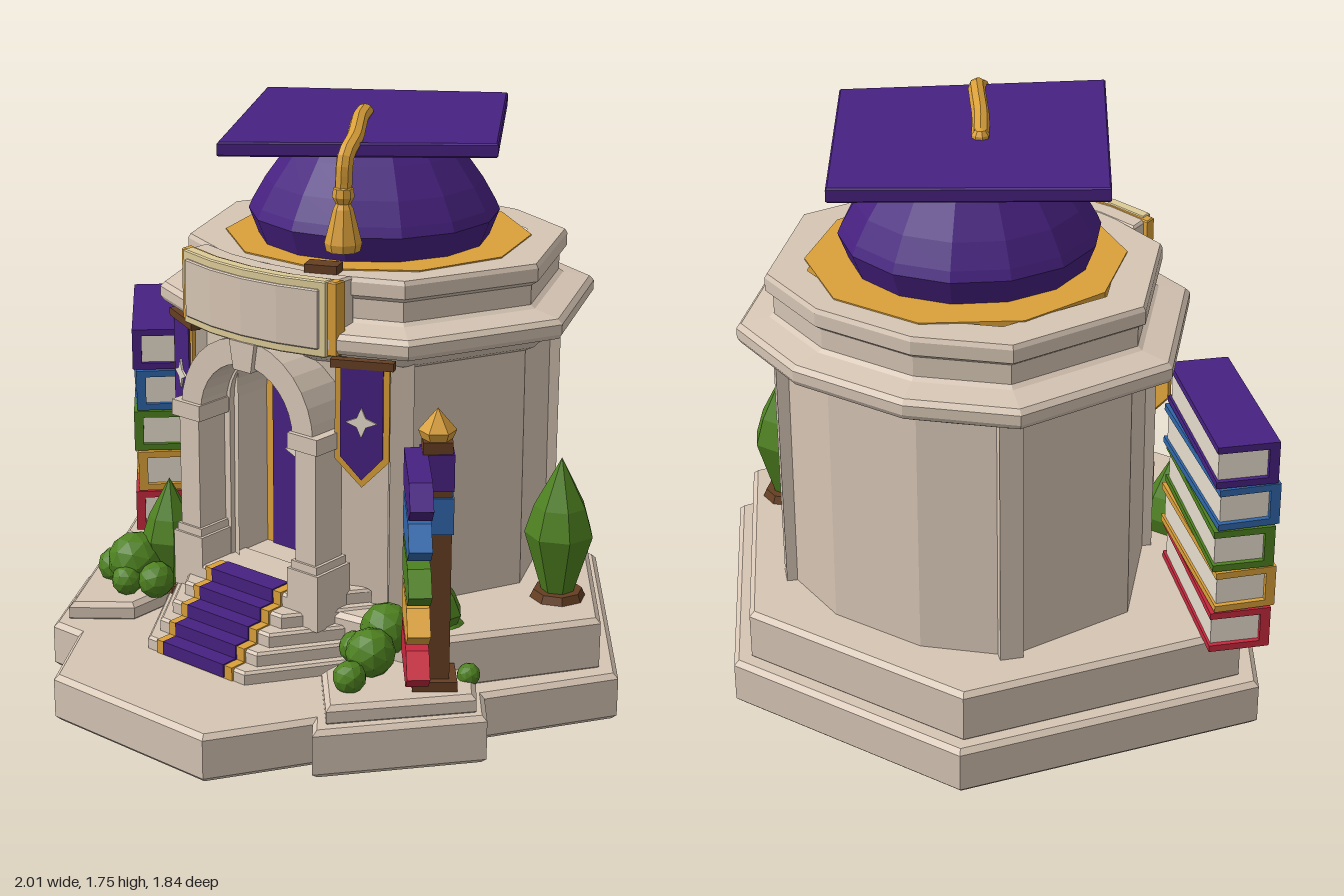
import * as THREE from 'three';

const mat = (name, color) => Object.assign(new THREE.MeshStandardMaterial({ color }), { name });
const V2 = (x, y) => new THREE.Vector2(x, y);

export function createModel() {
  const stone = mat('stone', 0xd6c5b4), purple = mat('purple', 0x472180), gold = mat('gold', 0xdaa03a),
    green = mat('leaf green', 0x4e8120), blue = mat('blue', 0x3066aa), red = mat('red', 0xc6283d),
    brown = mat('wood brown', 0x643e22), cream = mat('cream', 0xe6dccd), paleGold = mat('pale gold', 0xddcb98);
  const model = new THREE.Group();
  model.name = 'scholarTower';

  const group = (name, x = 0, y = 0, z = 0, ry = 0, parent = model) => {
    const g = new THREE.Group();
    g.name = name;
    g.position.set(x, y, z);
    g.rotation.y = ry;
    parent.add(g);
    return g;
  };
  // Adds a faceted mesh
  const add = (name, geo, material, x = 0, y = 0, z = 0, ry = 0, parent = model) => {
    const flat = geo.index ? geo.toNonIndexed() : geo;
    flat.computeVertexNormals();
    const m = new THREE.Mesh(flat, material);
    m.name = name;
    m.position.set(x, y, z);
    m.rotation.y = ry;
    parent.add(m);
  };
  const box = (w, h, d) => new THREE.BoxGeometry(w, h, d);
  // Vertical prism from [x, z] outline with a small bevel
  const prism = (pts, y0, y1, b = 0.015) => {
    const shape = new THREE.Shape(pts.map(([x, z]) => V2(x, -z)));
    return new THREE.ExtrudeGeometry(shape, {
      depth: y1 - y0 - 2 * b, bevelEnabled: b > 0, bevelThickness: b, bevelSize: b, bevelOffset: -b, bevelSegments: 1,
    }).translate(0, 0, b).rotateX(-Math.PI / 2).translate(0, y0, 0);
  };
  const plate = (shape, depth) => new THREE.ExtrudeGeometry(shape, { depth, bevelEnabled: false, curveSegments: 8 });
  const lathe = (pts, n) => new THREE.LatheGeometry(pts.map(p => V2(...p)), n);
  const poly = pts => new THREE.Shape(pts.map(p => V2(...p)));
  const star = s => poly([...Array(8)].map((_, i) => {
    const r = i % 2 ? s * 0.42 : s, a = i * Math.PI / 4;
    return [r * Math.sin(a), r * Math.cos(a)];
  }));

  // Stone base and terraces
  add('baseTier', prism([[-0.41, -0.92], [0.42, -0.92], [1, -0.18], [0.33, 0.92], [-0.28, 0.92], [-0.97, -0.15]], 0, 0.15), stone);
  add('upperTier', prism([[-0.39, -0.87], [0.39, -0.87], [0.93, -0.18], [0.65, 0.25], [0.3, 0.3], [-0.3, 0.3],
    [-0.65, 0.25], [-0.9, -0.15]], 0.14, 0.31), stone);
  add('rightTerrace', prism([[0.72, 0.12], [0.87, 0.3], [0.55, 0.7], [0.4, 0.52], [0.4, 0.2]], 0, 0.15), stone);
  add('rightTerraceTop', prism([[0.72, 0.16], [0.83, 0.3], [0.55, 0.64], [0.38, 0.46], [0.38, 0.2]], 0.14, 0.205), stone);
  add('leftTerrace', prism([[-0.76, 0.15], [-0.76, 0.32], [-0.56, 0.66], [-0.4, 0.66], [-0.4, 0.2]], 0, 0.15), stone);
  add('leftTerraceTop', prism([[-0.72, 0.2], [-0.72, 0.31], [-0.54, 0.61], [-0.38, 0.48], [-0.38, 0.2]], 0.14, 0.205), stone);

  // Tower: one faceted plan lofted along [radius, y] profiles; the wall is left open at the doorway
  const plan = [[-0.27, 0.85], [0.27, 0.85], [0.707, 0.67], [1, 0], [0.707, -0.67], [0.27, -0.85],
    [-0.27, -0.85], [-0.707, -0.67], [-1, 0], [-0.707, 0.67]];
  const loft = (profile, openFront) => {
    const n = plan.length, pos = [], idx = [];
    profile.forEach(([r, y], j) => plan.forEach(([x, z], i) => {
      pos.push(x * r, y, z * r);
      const a = j * n + i, b = j * n + (i + 1) % n;
      if (j < profile.length - 1 && !(openFront && i === 0)) idx.push(a, b, b + n, a, b + n, a + n);
    }));
    const geo = new THREE.BufferGeometry();
    geo.setAttribute('position', new THREE.Float32BufferAttribute(pos, 3));
    geo.setIndex(idx);
    return geo;
  };
  add('towerWall', loft([[0.575, 0.3], [0.57, 1.08]], true), stone, 0.01, 0, -0.245);
  for (const sx of [-1, 1]) for (const sz of [-1, 1]) {
    add('cornerPilaster', box(0.07, 0.8, 0.05), stone, 0.01 + sx * 0.4, 0.7, -0.245 + sz * 0.38, sx * (sz > 0 ? 0.8 : 2.34));
  }
  add('cornice', loft([[0.56, 1.06], [0.6, 1.08], [0.64, 1.12], [0.69, 1.125], [0.7, 1.14], [0.7, 1.17], [0.685, 1.185],
    [0.6, 1.2], [0.585, 1.21], [0.585, 1.27], [0.608, 1.285], [0.608, 1.325], [0.6, 1.338], [0.48, 1.338]], false),
  stone, 0.01, 0, -0.245);
  add('roofFloor', new THREE.CylinderGeometry(0.475, 0.475, 0.04, 10), gold, 0.02, 1.322, -0.23, Math.PI / 10);

  // Entrance steps with carpet
  for (let i = 0; i < 5; i++) {
    const zf = 0.6 - i * 0.055, top = 0.19 + i * 0.0425, hw = 0.2, back = 0.48 - i * 0.035;
    add('entranceStep', prism([[-hw, zf], [hw, zf], [back, 0.18], [-back, 0.18]], 0.14, top, 0.008), stone);
    add('carpetTrim', box(0.31, 0.0425, 0.07), gold, 0, top - 0.017, zf - 0.028);
    add('carpet', box(0.25, 0.0425, 0.074), purple, 0, top - 0.013, zf - 0.025);
  }

  // Deep doorway: arched passage, floor, gold surround and door
  const archShape = (hw, y0, spring) => {
    const s = new THREE.Shape();
    s.moveTo(-hw, y0);
    s.lineTo(hw, y0);
    s.lineTo(hw, spring);
    s.absarc(0, spring, hw, 0, Math.PI, false);
    s.lineTo(-hw, y0);
    return s;
  };
  const passage = archShape(0.2, 0.31, 0.87);
  passage.holes.push(archShape(0.172, 0.355, 0.87));
  add('doorPassage', plate(passage, 0.19), stone, 0, 0, 0.06);
  add('doorSurround', plate(archShape(0.175, 0.35, 0.87), 0.02), gold, 0, 0, 0.06);
  add('door', plate(archShape(0.14, 0.355, 0.89), 0.008), purple, 0, 0, 0.08);
  add('doorStar', plate(star(0.068), 0.009), cream, -0.015, 0.69, 0.088);

  // Portico columns, arch and keystone
  for (const s of [-1, 1]) {
    const column = group('porticoColumn', s * 0.235, 0, 0.305);
    add('columnFoot', box(0.12, 0.18, 0.15), stone, 0, 0.36, 0, 0, column);
    add('columnCollar', box(0.1, 0.03, 0.135), stone, 0, 0.46, 0, 0, column);
    add('columnShaft', box(0.08, 0.4, 0.12), stone, 0, 0.65, 0, 0, column);
    add('columnCapital', box(0.115, 0.05, 0.15), stone, 0, 0.855, 0, 0, column);
  }
  const arch = new THREE.Shape();
  arch.absarc(0, 0.86, 0.265, 0, Math.PI, false);
  arch.absarc(0, 0.86, 0.185, Math.PI, 0, true);
  add('porticoArch', plate(arch, 0.15), stone, 0, 0, 0.215);
  add('keystone', plate(poly([[-0.035, 1.03], [0.035, 1.03], [0.05, 1.12], [-0.05, 1.12]]), 0.15), stone, 0, 0, 0.23);

  // Bowed plaque above the entrance
  const bow = (hw, off, t) => {
    const xs = [-1, -0.5, 0, 0.5, 1].map(k => k * hw);
    return [...xs.map(x => [x, 0.365 - x * x * 0.6 + off]), ...xs.reverse().map(x => [x, 0.365 - x * x * 0.6 + off - t])];
  };
  add('plaqueBody', prism(bow(0.29, -0.01, 0.09), 1.12, 1.34, 0.008), stone);
  add('plaqueFrame', prism(bow(0.305, 0, 0.04), 1.118, 1.342, 0.004), gold);
  add('plaqueBorder', prism(bow(0.28, 0.01, 0.04), 1.115, 1.345, 0.004), paleGold);
  add('plaquePanel', prism(bow(0.262, 0.018, 0.04), 1.14, 1.32, 0.004), stone);
  add('plaqueBracket', box(0.1, 0.03, 0.06), brown, 0.19, 1.35, 0.23, 0.4);

  // Hanging banners
  for (const s of [-1, 1]) {
    const banner = group('banner', s * 0.355, 0, 0.245, s * 0.45);
    const cloth = (hw, top, side, tip) => poly([[-hw, top], [-hw, side], [0, tip], [hw, side], [hw, top]]);
    add('bannerTrim', plate(cloth(0.082, 1.09, 0.8, 0.715), 0.012), gold, 0, 0, 0, 0, banner);
    add('bannerCloth', plate(cloth(0.064, 1.09, 0.81, 0.74), 0.006), purple, 0, 0, 0.012, 0, banner);
    add('bannerStar', plate(star(0.047), 0.006), cream, 0, 0.92, 0.018, 0, banner);
    add('bannerRod', box(0.19, 0.025, 0.03), brown, 0, 1.095, 0.005, 0, banner);
    for (const x of [-0.07, 0.07]) add('rodBracket', box(0.02, 0.02, 0.13), brown, x, 1.09, -0.065, 0, banner);
  }

  // Square cap: dome, board and tassel
  add('capDome', lathe([[0.355, 1.335], [0.388, 1.42], [0.375, 1.45], [0.335, 1.52], [0.27, 1.61], [0.21, 1.68]], 14),
    purple, 0.02, 0, -0.21);
  add('capBoard', prism([[0.12, -0.76], [0.56, -0.11], [-0.07, 0.4], [-0.53, -0.33]], 1.67, 1.713, 0.005), purple);
  const cord = new THREE.CatmullRomCurve3([[-0.02, 1.715, -0.21], [0.06, 1.722, -0.09], [0.15, 1.725, 0.03], [0.22, 1.715, 0.13],
    [0.24, 1.68, 0.19], [0.24, 1.58, 0.2]].map(p => new THREE.Vector3(...p)));
  add('tasselCord', new THREE.TubeGeometry(cord, 24, 0.026, 8), gold);
  add('cordButton', new THREE.SphereGeometry(0.028, 8, 5), gold, -0.02, 1.713, -0.21);
  add('tassel', lathe([[0, 1.4], [0.05, 1.405], [0.056, 1.43], [0.03, 1.53], [0.022, 1.545], [0.033, 1.565], [0.03, 1.59], [0, 1.61]], 9),
    gold, 0.24, 0, 0.2);

  // Stack of books
  const books = group('bookStack', -0.748, 0.31, -0.045, -0.78);
  [red, gold, green, blue, purple].forEach((cover, i) => {
    const book = group('book', 0, i * 0.138, 0, (i % 2 ? 0.02 : -0.02), books);
    add('pages', box(0.51, 0.1, 0.15), cream, 0, 0.067, -0.005, 0, book);
    for (const y of [0.011, 0.123]) add('cover', box(0.54, 0.021, 0.175), cover, 0, y, 0, 0, book);
    add('spine', box(0.54, 0.132, 0.03), cover, 0, 0.067, 0.08, 0, book);
  });

  // Signpost with arrow boards
  const post = group('signpost', 0.68, 0, 0.31, -0.85);
  add('postFoot', box(0.13, 0.04, 0.13), brown, 0, 0.215, 0, 0, post);
  add('post', box(0.085, 0.76, 0.085), brown, 0, 0.58, 0, 0, post);
  add('postTip', lathe([[0, 0.95], [0.045, 0.96], [0.055, 0.985], [0, 1.05]], 6), gold, 0, 0, 0, 0, post);
  [red, gold, green, blue, purple].forEach((color, i) => {
    const tip = [0.29, 0.29, 0.32, 0.31, 0.34][i], y = 0.35 + i * 0.13;
    const arrow = poly([[-0.02, -0.055], [tip - 0.075, -0.055], [tip, 0], [tip - 0.075, 0.055], [-0.02, 0.055]]);
    add('arrowBoard', plate(arrow, 0.065), color, 0, y, 0.028, 0, post);
    if (i > 2) add('boardCollar', box(0.095, 0.11, 0.095), color, 0, y, 0, 0, post);
  });

  // Pointed shrubs: x, y, z, height, radius
  for (const [x, y, z, h, r] of [[0.73, 0.325, -0.24, 0.435, 0.107], [-0.42, 0.2, 0.27, 0.36, 0.09], [0.56, 0.23, 0.16, 0.26, 0.09]]) {
    add('pointedShrub', lathe([[0, 0], [r * 0.45, 0], [r, h * 0.45], [r * 0.75, h * 0.65], [0, h]], 7), green, x, y, z);
    add('shrubSoil', new THREE.CylinderGeometry(r * 0.7, r * 0.8, 0.025, 8), brown, x, y - 0.003, z);
  }
  // Round bushes: x, y, z, radius
  for (const [x, y, z, r] of [[-0.57, 0.25, 0.25, 0.065], [-0.49, 0.29, 0.36, 0.09], [-0.59, 0.24, 0.35, 0.06], [-0.39, 0.25, 0.37, 0.06],
    [-0.46, 0.25, 0.43, 0.05], [0.47, 0.3, 0.27, 0.08], [0.5, 0.27, 0.38, 0.075], [0.52, 0.24, 0.5, 0.05], [0.4, 0.24, 0.33, 0.05],
    [0.59, 0.27, 0.14, 0.07], [0.74, 0.215, 0.22, 0.035]]) {
    add('roundBush', new THREE.IcosahedronGeometry(r, 1), green, x, y, z, x * 9);
  }
  return model;
}
